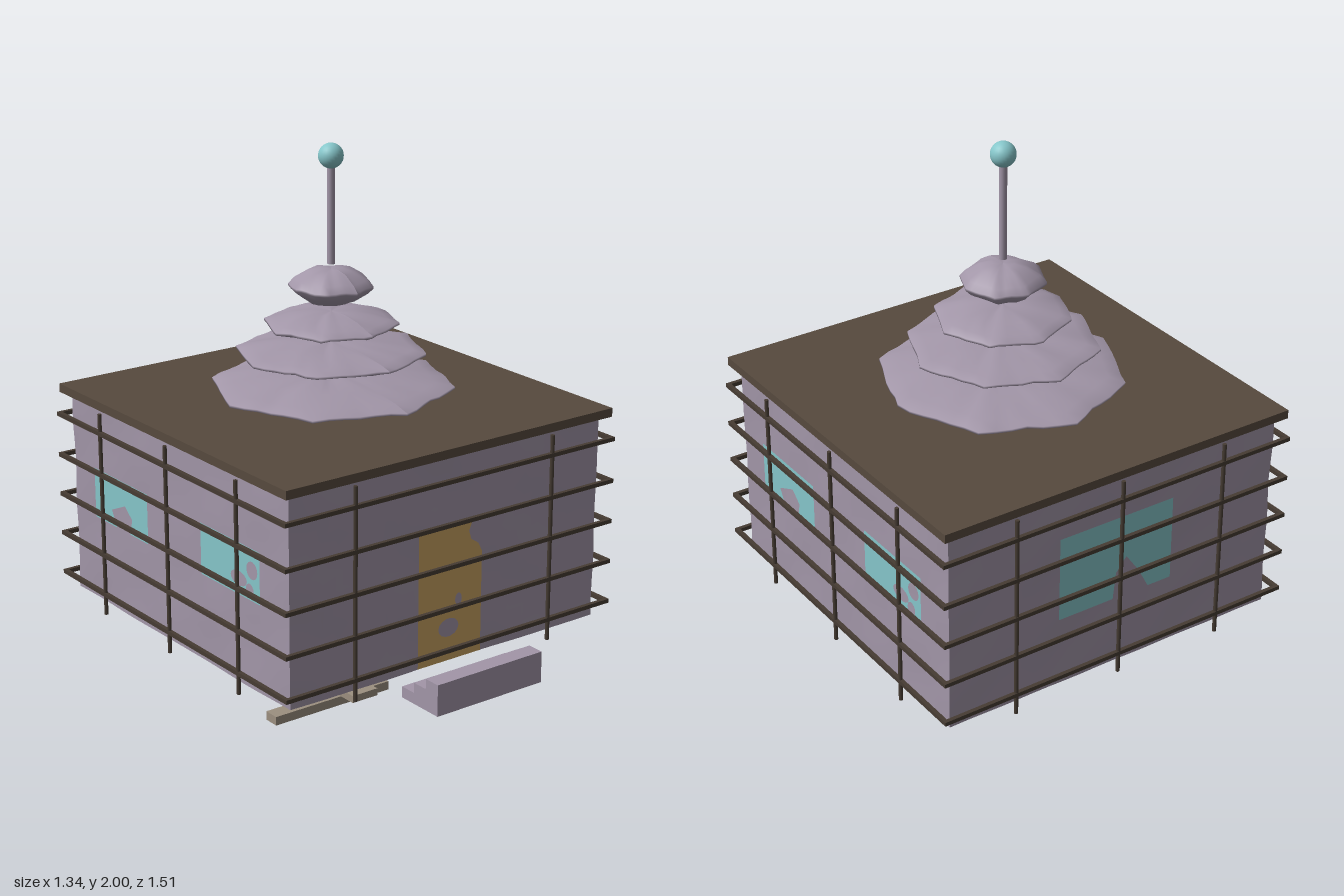
import * as THREE from 'three';
import { mergeVertices, toCreasedNormals } from 'three/addons/utils/BufferGeometryUtils.js';

const CZ = -0.09; // centre of the house along z

function material(name, color) {
  const m = new THREE.MeshStandardMaterial({ color });
  m.name = name;
  return m;
}

export function createModel() {
  const plaster = material('lilac plaster', 0xa296a8);
  const timber = material('dark timber', 0x574a3e);
  const lattice = material('lattice wood', 0x463c33);
  const plank = material('weathered plank', 0x9c9080);
  const amber = material('amber door', 0xcaa362);
  const glass = material('teal glass', 0x86c6ca);

  const model = new THREE.Group();
  model.name = 'pavilion';
  const house = new THREE.Group();
  house.name = 'house';
  house.position.z = CZ;
  model.add(house);

  function add(name, geometry, mat, x = 0, y = 0, z = 0, parent = house) {
    const mesh = new THREE.Mesh(geometry, mat);
    mesh.name = name;
    mesh.position.set(x, y, z);
    parent.add(mesh);
    return mesh;
  }
  // box given by its low and high limits on each axis
  function block(name, mat, [x0, x1], [y0, y1], [z0, z1], parent = house) {
    return add(name, new THREE.BoxGeometry(x1 - x0, y1 - y0, z1 - z0), mat,
      (x0 + x1) / 2, (y0 + y1) / 2, (z0 + z1) / 2, parent);
  }
  const wave = (x, y, z) => Math.sin(9 * x + 14 * y + 3) * Math.sin(11 * z - 8 * y + 1) +
    0.5 * Math.sin(23 * x + 17 * z + 19 * y);

  // gently uneven plaster walls
  let walls = new THREE.BoxGeometry(1.26, 0.715, 1.265, 20, 12, 20);
  walls.deleteAttribute('uv');
  walls.deleteAttribute('normal');
  walls = mergeVertices(walls);
  const wp = walls.attributes.position;
  for (let i = 0; i < wp.count; i++) {
    const [x, y, z] = [wp.getX(i), wp.getY(i), wp.getZ(i)];
    const k = 1 - 0.003 * (1 + wave(x, y, z));
    wp.setXYZ(i, x * k, y, z * k);
  }
  add('walls', toCreasedNormals(walls, 0.7), plaster, 0, 0.7625);

  // flat roof slab
  block('roofSlab', timber, [-0.66, 0.66], [1.115, 1.145], [-0.663, 0.663]);

  // door and windows as thin faces, worn where the plaster overlaps them
  function patch(name, mat, outline, holes, turn, distance) {
    const shape = new THREE.Shape(outline.map(p => new THREE.Vector2(...p)));
    for (const [x, y, rx, ry] of holes) {
      const hole = new THREE.Path();
      hole.absellipse(x, y, rx, ry, 0, Math.PI * 2, true, 0);
      shape.holes.push(hole);
    }
    const mesh = add(name, new THREE.ShapeGeometry(shape, 7), mat,
      Math.sin(turn) * distance, 0, Math.cos(turn) * distance);
    mesh.rotation.y = turn;
  }
  patch('door', amber, [[-0.13, 0.41], [0.13, 0.41], [0.13, 0.76], [0.115, 0.79], [0.085, 0.81],
    [0.075, 0.84], [0.09, 0.875], [-0.13, 0.875]],
    [[-0.005, 0.525, 0.042, 0.032], [0.035, 0.615, 0.014, 0.022]], 0, 0.638);
  for (const side of [1, -1]) {
    const turn = side * Math.PI / 2;
    patch('windowNear', glass, [[-0.49, 0.71], [-0.355, 0.71], [-0.385, 0.765], [-0.3, 0.802],
      [-0.257, 0.765], [-0.27, 0.71], [-0.16, 0.71], [-0.16, 0.885], [-0.49, 0.885]], [], turn, 0.636);
    patch('windowFar', glass, [[0.157, 0.71], [0.485, 0.71], [0.485, 0.885], [0.157, 0.885]],
      [[0.37, 0.765, 0.045, 0.025], [0.43, 0.74, 0.022, 0.025], [0.443, 0.812, 0.03, 0.03]], turn, 0.636);
  }
  patch('backWindow', glass, [[-0.22, 0.655], [-0.01, 0.655], [0.0, 0.75], [0.04, 0.8], [0.09, 0.73],
    [0.13, 0.655], [0.22, 0.655], [0.22, 0.955], [-0.22, 0.955]], [], Math.PI, 0.638);

  // lattice cage: closed hoops and uprights
  const R = 0.663, t = 0.007;
  for (const y of [0.458, 0.603, 0.747, 0.89, 1.037]) {
    for (const s of [-1, 1]) {
      block('latticeRail', lattice, [-R - t, R + t], [y - t, y + t], [s * R - t, s * R + t]);
      block('latticeRail', lattice, [s * R - t, s * R + t], [y - t, y + t], [-R - t, R + t]);
    }
  }
  const upright = (x, z) => add('latticePost', new THREE.CylinderGeometry(t, t, 0.72, 8), lattice, x, 0.745, z);
  for (const a of [-0.4, 0, 0.4]) {
    upright(R, a);
    upright(-R, a);
    upright(a, -R);
    if (a) upright(a, R);
  }

  // stacked eight-sided tiers, softly uneven
  function tier(radius, bottom, rim, top, shoulder) {
    const profile = [[0.001, bottom], [radius * shoulder, bottom + 0.008],
      [radius * 0.86, rim - (rim - bottom) * 0.4], [radius, rim - 0.004], [radius, rim + 0.004],
      [radius * 0.86, rim + (top - rim) * 0.4], [radius * shoulder, top - 0.008],
      [radius * shoulder * 0.5, top], [0.001, top]].map(p => new THREE.Vector2(...p));
    const g = new THREE.LatheGeometry(profile, 48);
    const p = g.attributes.position;
    for (let i = 0; i < p.count; i++) {
      const [x, y, z] = [p.getX(i), p.getY(i), p.getZ(i)];
      const step = Math.PI / 4;
      const a = ((Math.atan2(z, x) + Math.PI * 2 + 1e-6) % step) - step / 2;
      const k = Math.cos(step / 2) / Math.cos(a) * (1 + 0.012 * wave(x * 2, y, z * 2));
      p.setXYZ(i, x * k, y + 0.003 * wave(x * 3, y, z * 3), z * k);
    }
    g.computeVertexNormals();
    add('roofTier', g, plaster);
  }
  tier(0.41, 1.15, 1.188, 1.232, 0.6);
  tier(0.318, 1.265, 1.302, 1.338, 0.6);
  tier(0.226, 1.365, 1.4, 1.44, 0.62);
  tier(0.142, 1.467, 1.527, 1.585, 0.55);

  // finial
  add('finialRod', new THREE.CylinderGeometry(0.013, 0.013, 0.34, 16), plaster, 0, 1.77);
  add('finialBall', new THREE.SphereGeometry(0.042, 24, 16), glass, 0, 1.96);

  // front steps, tallest on the outside
  [[0.575, 0.635, 0.385], [0.635, 0.695, 0.42], [0.695, 0.755, 0.455]].forEach(([z0, z1, y]) =>
    block('step', plaster, [-0.215, 0.215], [0.347, y], [z0, z1], model));

  // hanging frame across the width
  const fz = [-0.05, 0.003];
  block('wideFrameBeam', timber, [-0.255, 0.255], [0.165, 0.2], fz);
  for (const s of [-1, 1]) {
    block('wideFramePost', timber, [s * 0.237 - 0.018, s * 0.237 + 0.018], [0.165, 0.41], fz);
    // hanging frame along the depth
    block('deepFramePost', timber, [-0.053, 0.053], [0.22, 0.41], [s * 0.183 - 0.018, s * 0.183 + 0.018]);
  }
  block('deepFrameBeam', timber, [-0.053, 0.053], [0.22, 0.255], [-0.2, 0.2]);
  block('crossBar', lattice, [-0.127, 0.127], [0.281, 0.295], [-0.007, 0.007]);
  block('depthBar', lattice, [-0.007, 0.007], [0.34, 0.354], [-0.17, 0.17]);
  add('hangerPin', new THREE.CylinderGeometry(0.009, 0.009, 0.22, 8), lattice, 0, 0.295, 0.015);
  add('bead', new THREE.SphereGeometry(0.015, 16, 10), amber, 0.093, 0.335, 0.018);

  // loose planks below
  block('lowerPlank', plank, [-0.245, 0.245], [0, 0.032], [-0.052, 0.007]);
  block('upperPlank', plank, [-0.053, 0.053], [0.1, 0.126], [-0.187, 0.19]);
  block('crossPlank', plank, [-0.18, 0.177], [0.113, 0.125], [-0.062, 0.016]);

  return model;
}
